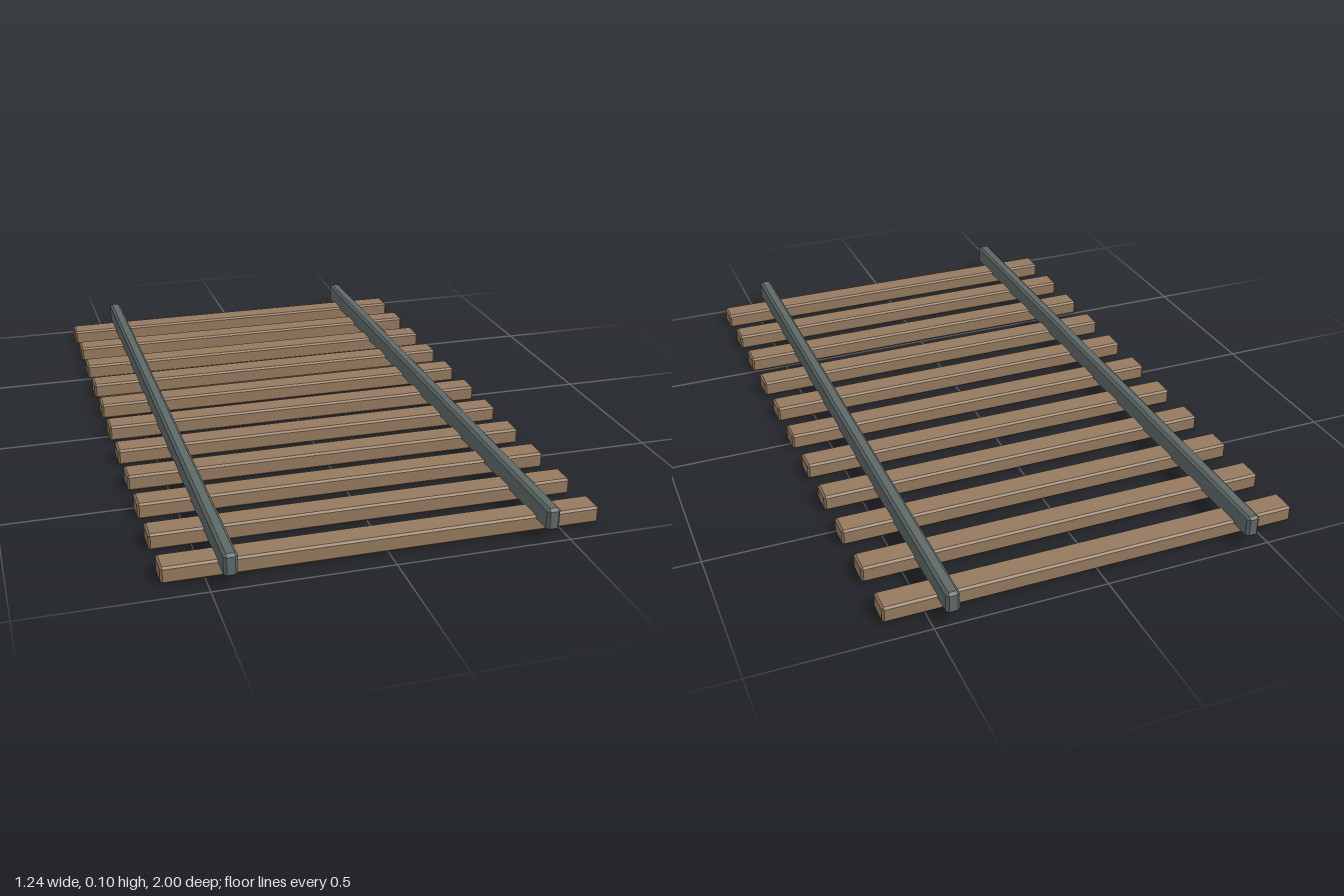
import * as THREE from 'three';
import { ConvexGeometry } from 'three/addons/geometries/ConvexGeometry.js';

// Box with every edge and corner cut by a flat chamfer
function chamferedBox(w, h, d, c) {
  const points = [];
  for (const sx of [-1, 1]) for (const sy of [-1, 1]) for (const sz of [-1, 1]) {
    for (const [a, b, e] of [[0, c, c], [c, 0, c], [c, c, 0]]) {
      points.push(new THREE.Vector3(sx * (w / 2 - a), sy * (h / 2 - b), sz * (d / 2 - e)));
    }
  }
  return new ConvexGeometry(points);
}

export function createModel() {
  const group = new THREE.Group();
  const wood = new THREE.MeshStandardMaterial({ color: 0x957a5f, flatShading: true });
  const steel = new THREE.MeshStandardMaterial({ color: 0x5e6a68, flatShading: true });

  const add = (name, geometry, material, x, y, z) => {
    const mesh = new THREE.Mesh(geometry, material);
    mesh.name = name;
    mesh.position.set(x, y, z);
    group.add(mesh);
  };

  // Eleven evenly spaced sleepers
  const sleeper = chamferedBox(1.235, 0.049, 0.076, 0.006);
  for (let i = -5; i <= 5; i++) {
    add(`sleeper${i + 6}`, sleeper, wood, 0, 0.0245, i * 0.179);
  }

  // Two rails let into the sleepers
  const rail = chamferedBox(0.039, 0.067, 2, 0.008);
  add('leftRail', rail, steel, 0.446, 0.0665, 0);
  add('rightRail', rail, steel, -0.446, 0.0665, 0);

  return group;
}
